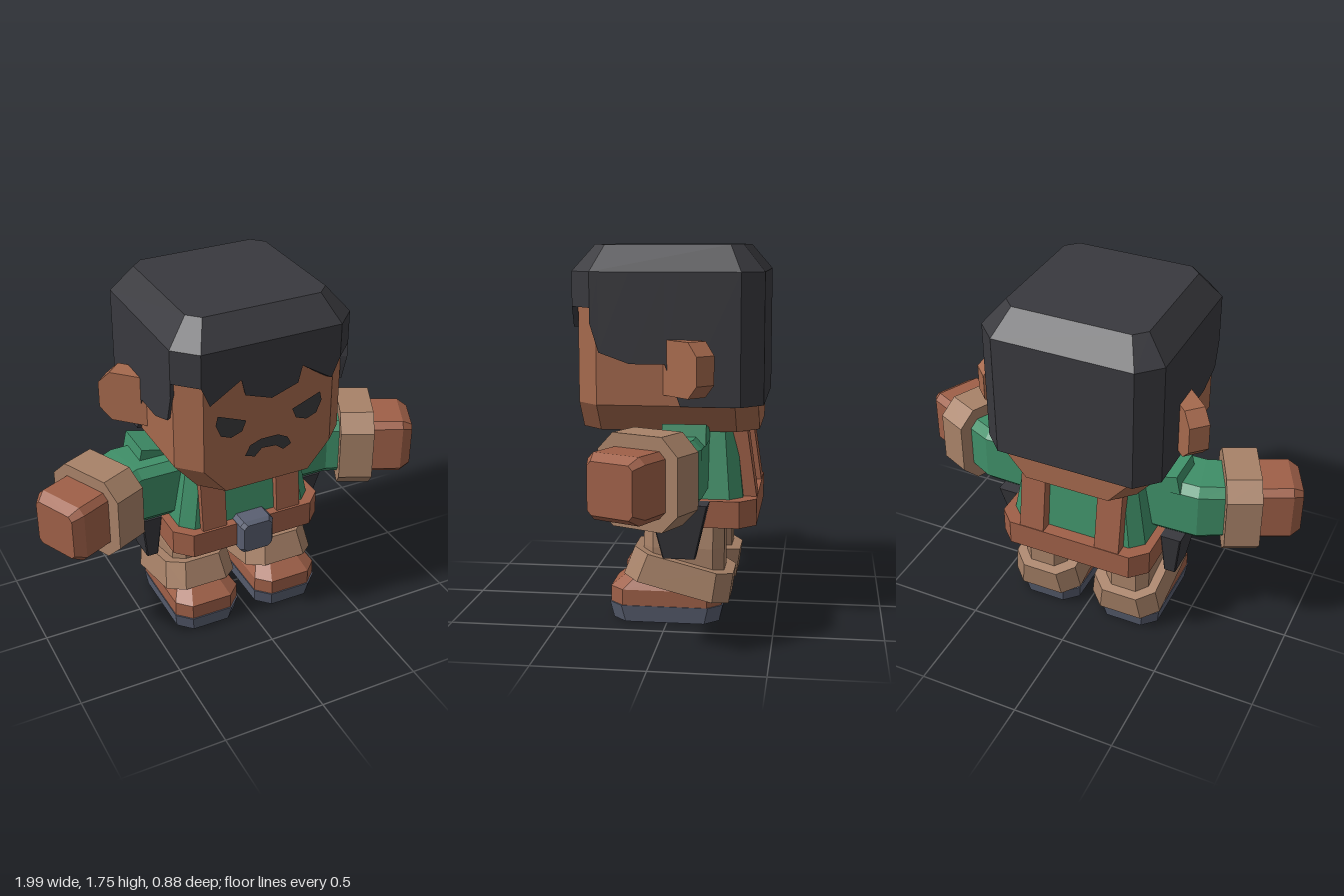
import * as THREE from 'three';

const mat = (color) => new THREE.MeshStandardMaterial({ color, flatShading: true, side: THREE.DoubleSide });

// Geometry from a flat list of triangle corners
function fromTriangles(points) {
  const g = new THREE.BufferGeometry().setFromPoints(points);
  g.computeVertexNormals();
  return g;
}

// Chamfered rectangle around centre c, spanned by axes U and V
function ring(c, U, V, hu, hv, ch) {
  const a = hu - ch, b = hv - ch;
  return [[hu, -b], [hu, b], [a, hv], [-a, hv], [-hu, b], [-hu, -b], [-a, -hv], [a, -hv]]
    .map(([u, v]) => c.clone().addScaledVector(U, u).addScaledVector(V, v));
}
const X = new THREE.Vector3(1, 0, 0), Y = new THREE.Vector3(0, 1, 0), Z = new THREE.Vector3(0, 0, 1);

// Horizontal ring
const level = (y, hx, hz, ch, cx = 0, cz = 0) => ring(new THREE.Vector3(cx, y, cz), Z, X, hz, hx, ch);

// Upright ring facing along the arm, turned forward by an angle
const armRing = (x, z, half, ch, turn) =>
  ring(new THREE.Vector3(x, 0.75, z), Y, new THREE.Vector3(-Math.sin(turn), 0, Math.cos(turn)), half, half, ch);

// Closed solid through a list of rings
function loft(rings) {
  const t = [], n = rings[0].length, last = rings[rings.length - 1];
  for (let k = 0; k + 1 < rings.length; k++) {
    for (let i = 0; i < n; i++) {
      const j = (i + 1) % n, p = rings[k], q = rings[k + 1];
      t.push(p[i], p[j], q[j], p[i], q[j], q[i]);
    }
  }
  for (let i = 1; i + 1 < n; i++) {
    t.push(last[0], last[i], last[i + 1], rings[0][0], rings[0][i + 1], rings[0][i]);
  }
  return fromTriangles(t);
}

const shape = (pts) => new THREE.Shape(pts.map(([x, y]) => new THREE.Vector2(x, y)));
const extrude = (pts, depth) => new THREE.ExtrudeGeometry(shape(pts), { depth, bevelEnabled: false });

// Hanging hair: a wall with a cut lower edge, closed underneath to the head
function hairWall(topY) {
  const half = [[0, 0.44, 1.345], [0.13, 0.44, 1.39], [0.15, 0.44, 1.47], [0.3, 0.44, 1.375],
    [0.34, 0.44, 1.47], [0.44, 0.34, 1.47], [0.44, 0.34, 1.4], [0.44, 0.3, 1.27], [0.44, 0.16, 1.22],
    [0.44, 0, 1.22], [0.44, -0.07, 1.03], [0.44, -0.34, 1.03], [0.34, -0.44, 1.03], [0, -0.44, 1.03]];
  const other = half.slice(1, -1).reverse().map(([x, z, y]) => [-x, z, y]);
  const edge = [...half, ...other], t = [];
  edge.forEach((p, i) => {
    const q = edge[(i + 1) % edge.length];
    const at = ([x, z, y], s = 1) => new THREE.Vector3(x * s, y, z * s);
    const up = ([x, z]) => new THREE.Vector3(x, topY, z);
    t.push(at(p), at(q), up(q), at(p), up(q), up(p));
    t.push(at(p), at(p, 0.93), at(q, 0.93), at(p), at(q, 0.93), at(q));
  });
  return fromTriangles(t);
}

export function createModel() {
  const model = new THREE.Group();
  const skin = mat(0xa5694d), leather = mat(0x9f6048), tan = mat(0xa88268), green = mat(0x3f8f68);
  const hair = mat(0x39393e), metal = mat(0x5a6072), dark = mat(0x3a3a3c);
  const add = (parent, name, geometry, material) => {
    const m = new THREE.Mesh(geometry, material);
    m.name = name;
    parent.add(m);
    return m;
  };

  // Head and hair
  add(model, 'head', loft([level(0.9, 0.31, 0.415, 0.1), level(1.03, 0.42, 0.415, 0.1),
    level(1.65, 0.42, 0.415, 0.1)]), skin);
  add(model, 'hairTop', loft([level(1.63, 0.44, 0.44, 0.1), level(1.75, 0.34, 0.34, 0.055)]), hair);
  add(model, 'hairSides', hairWall(1.63), hair);
  add(model, 'mouth', new THREE.ShapeGeometry(shape([[-0.12, 1.065], [-0.095, 1.115], [-0.04, 1.135],
    [0.045, 1.135], [0.095, 1.11], [0.115, 1.07], [0.075, 1.05], [0.035, 1.08], [-0.035, 1.085],
    [-0.07, 1.05]])).translate(0, 0, 0.421), dark);

  // Torso, belt and buckle
  add(model, 'torso', loft([level(0.55, 0.355, 0.295, 0.06, 0, -0.055),
    level(0.91, 0.29, 0.255, 0.05, 0, -0.055)]), green);
  add(model, 'belt', loft([level(0.465, 0.39, 0.345, 0.075, 0, -0.065),
    level(0.59, 0.39, 0.345, 0.075, 0, -0.065)]), leather);
  add(model, 'buckle', loft([[0.2, 0.088], [0.315, 0.088], [0.335, 0.075]].map(([z, h]) =>
    ring(new THREE.Vector3(0, 0.525, z), X, Y, h, h, 0.02))), metal);

  // Paired parts, built on the left and mirrored
  for (const [side, s] of [['left', 1], ['right', -1]]) {
    const g = new THREE.Group();
    g.name = side + 'Side';
    g.scale.x = s;
    model.add(g);

    add(g, 'eye', new THREE.ShapeGeometry(shape([[0.255, 1.305], [0.265, 1.26], [0.24, 1.2],
      [0.19, 1.18], [0.135, 1.2], [0.115, 1.25]])).translate(0, 0, 0.421), dark);

    const ear = add(g, 'ear', extrude([[-0.06, 1.08], [0.18, 1.08], [0.24, 1.14], [0.24, 1.27],
      [0.18, 1.33], [0, 1.33], [-0.06, 1.27]], 0.1).translate(0, 0, -0.1), skin);
    ear.position.set(0.42, 0, 0.01);
    ear.rotation.y = Math.PI / 4;

    add(g, 'strap', extrude([[0.27, 0.57], [0.235, 0.905], [-0.36, 0.915], [-0.41, 0.57]], 0.125)
      .rotateY(-Math.PI / 2).translate(0.26, 0, 0), leather);
    add(g, 'shoulderPad', extrude([[0.24, 0.86], [0.26, 0.905], [0.455, 0.955], [0.475, 0.86]], 0.2)
      .translate(0, 0, -0.19), green);

    // Arm bends forward at the elbow; along() gives a point on the forearm line
    const bend = 0.436;
    const along = (d, half, ch) =>
      armRing(0.69 + d * Math.cos(bend), 0.04 + d * Math.sin(bend), half, ch, bend);
    add(g, 'sleeve', loft([armRing(0.24, -0.04, 0.15, 0.04, 0), armRing(0.53, -0.035, 0.15, 0.04, bend / 2),
      along(-0.05, 0.145, 0.04)]), green);
    add(g, 'cuff', loft([along(-0.083, 0.206, 0.08), along(0.083, 0.206, 0.08)]), tan);
    add(g, 'hand', loft([along(0.07, 0.145, 0.03), along(0.235, 0.145, 0.03), along(0.285, 0.115, 0.02)]), leather);

    add(g, 'hipPouch', loft([level(0.33, 0.03, 0.075, 0.005, 0.42, -0.065),
      level(0.59, 0.052, 0.135, 0.005, 0.44, -0.065)]), hair);

    // Leg, boot cuff and boot
    add(g, 'leg', loft([level(0.15, 0.115, 0.19, 0.05, 0.225, -0.07), level(0.35, 0.115, 0.19, 0.05, 0.225, -0.07),
      level(0.5, 0.1, 0.19, 0.05, 0.22, -0.07)]), tan);
    const cuff = add(g, 'bootCuff', loft([level(-0.068, 0.185, 0.255, 0.075),
      level(0.068, 0.165, 0.24, 0.075)]), tan);
    cuff.position.set(0.22, 0.222, -0.055);
    cuff.rotation.x = -0.25;
    add(g, 'boot', loft([level(0.08, 0.168, 0.262, 0.065, 0.22, 0.01), level(0.155, 0.168, 0.262, 0.065, 0.22, 0.01),
      level(0.23, 0.12, 0.21, 0.05, 0.22, -0.03)]), leather);
    add(g, 'sole', loft([level(0, 0.16, 0.25, 0.065, 0.22, 0.01),
      level(0.08, 0.172, 0.268, 0.065, 0.22, 0.01)]), metal);
  }
  return model;
}
